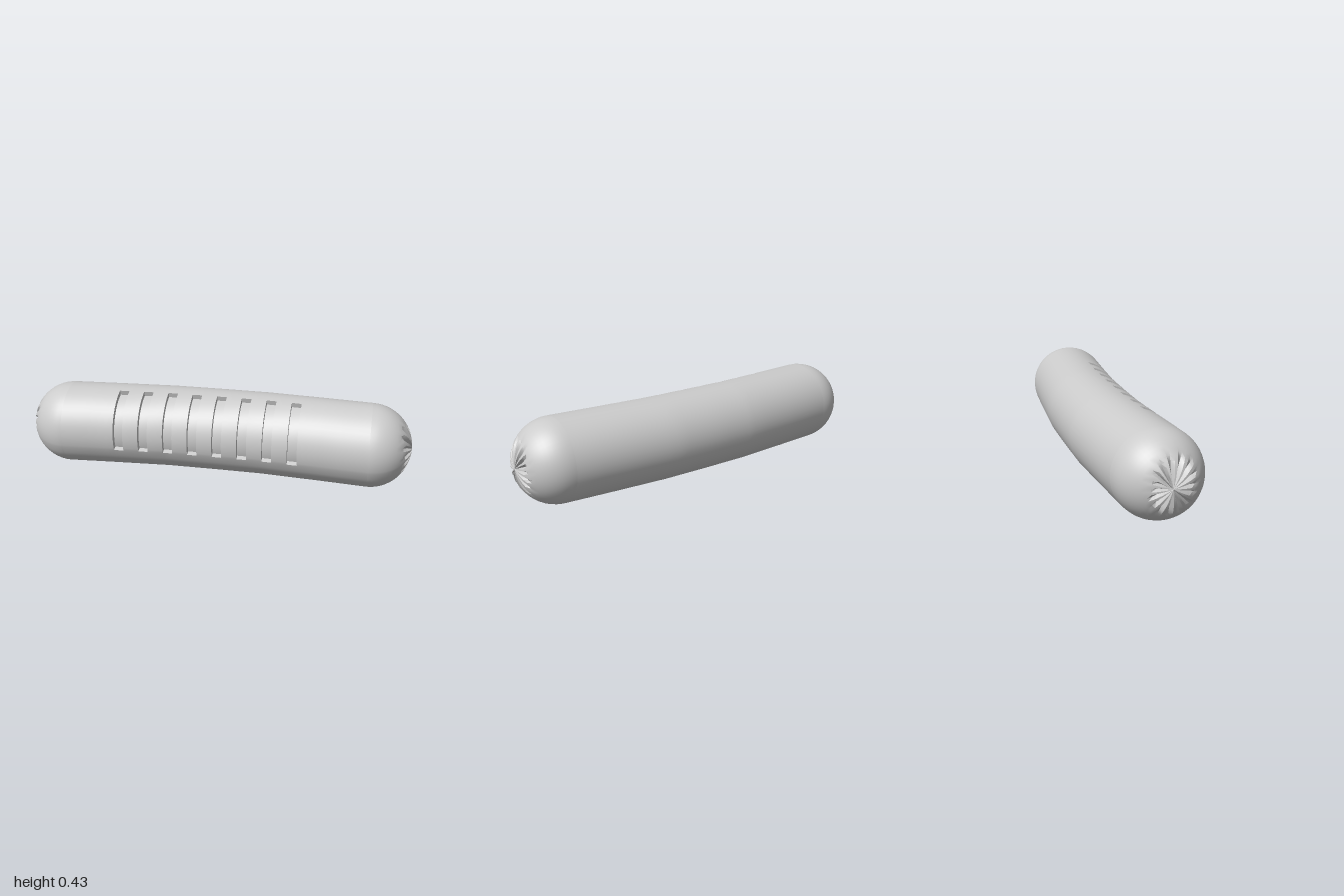
import * as THREE from 'three';
import { toCreasedNormals } from 'three/addons/utils/BufferGeometryUtils.js';

const R = 0.214;          // body radius
const SEG = 48;           // sides around the body
const CAP_X = 0.79;       // where the rounded ends begin
const CAP_RINGS = 14;
const DEPTH = 0.026;      // depth of the cuts
const CUT_W = 0.05;
const CUT_FROM = -3, CUT_TO = 10;   // angular steps covered by a cut

// Gentle bend of the centre line, as a polyline in x and z
const bend = [[0, -0.022], [0.25, -0.02], [0.55, 0.001], [0.8, 0.021], [2, 0.021]];
function centreZ(x) {
  const ax = Math.abs(x);
  const k = bend.findIndex((p, i) => i > 0 && ax <= p[0]);
  const [x0, z0] = bend[k - 1], [x1, z1] = bend[k];
  return z0 + (z1 - z0) * (ax - x0) / (x1 - x0);
}

// Angle 0 faces the front, a quarter turn faces up
function angle(j) {
  return j === CUT_FROM || j === CUT_FROM + SEG
    ? THREE.MathUtils.degToRad(-18.8)
    : (j / SEG) * Math.PI * 2;
}

function surfacePoint(x, r, j) {
  const a = angle(j);
  return new THREE.Vector3(x, R + r * Math.sin(a), centreZ(x) + r * Math.cos(a));
}

function meshFromQuads(name, quads, crease) {
  const pos = [];
  for (const [a, b, c, d] of quads) {
    for (const [p, q, s] of [[a, b, c], [a, c, d]]) {
      if (p.distanceTo(q) < 1e-6 || q.distanceTo(s) < 1e-6 || s.distanceTo(p) < 1e-6) continue;
      for (const v of [p, q, s]) pos.push(v.x, v.y, v.z);
    }
  }
  const geo = new THREE.BufferGeometry();
  geo.setAttribute('position', new THREE.Float32BufferAttribute(pos, 3));
  const mesh = new THREE.Mesh(toCreasedNormals(geo, crease), new THREE.MeshStandardMaterial({ color: 0xcccccc }));
  mesh.name = name;
  return mesh;
}

const cutCentres = Array.from({ length: 8 }, (_, i) => -0.49 + i * 0.129);
const inCut = (x) => cutCentres.some((c) => Math.abs(x - c) < CUT_W / 2);

// Casing between the rounded ends, left open where the cuts are
function makeBody() {
  const xs = [-CAP_X, -0.65, -0.25, 0, 0.25, 0.65, CAP_X, -0.55, 0.55];
  for (const c of cutCentres) xs.push(c - CUT_W / 2, c + CUT_W / 2);
  xs.sort((a, b) => a - b);
  const quads = [];
  for (let i = 0; i < xs.length - 1; i++) {
    const open = inCut((xs[i] + xs[i + 1]) / 2);
    for (let j = CUT_FROM; j < CUT_FROM + SEG; j++) {
      if (open && j < CUT_TO) continue;
      quads.push([
        surfacePoint(xs[i], R, j), surfacePoint(xs[i + 1], R, j),
        surfacePoint(xs[i + 1], R, j + 1), surfacePoint(xs[i], R, j + 1),
      ]);
    }
  }
  return meshFromQuads('body', quads, 0.5);
}

// Recess with a curved floor, two side walls and two end walls
function makeCut(centre) {
  const x0 = centre - CUT_W / 2, x1 = centre + CUT_W / 2, r = R - DEPTH;
  const P = surfacePoint;
  const quads = [];
  for (let j = CUT_FROM; j < CUT_TO; j++) {
    const k = j + 1;
    quads.push([P(x0, r, j), P(x1, r, j), P(x1, r, k), P(x0, r, k)]);
    quads.push([P(x0, R, j), P(x0, r, j), P(x0, r, k), P(x0, R, k)]);
    quads.push([P(x1, r, j), P(x1, R, j), P(x1, R, k), P(x1, r, k)]);
  }
  const a = CUT_FROM, b = CUT_TO;
  quads.push([P(x0, R, a), P(x1, R, a), P(x1, r, a), P(x0, r, a)]);
  quads.push([P(x0, r, b), P(x1, r, b), P(x1, R, b), P(x0, R, b)]);
  return meshFromQuads('cut', quads, 0.5);
}

// Rounded end, gathered into uneven pleats around the tip
function makeEnd(side) {
  const point = (i, j) => {
    const t = (i / CAP_RINGS) * Math.PI / 2;
    let r = i === CAP_RINGS ? 0 : R * Math.cos(t);
    let x = CAP_X + (1 - CAP_X) * Math.sin(t);
    const step = (j + SEG) % SEG;
    if (step % 3 === 0) {
      const length = 0.125 + 0.03 * Math.sin(step * 2.3);
      const fold = Math.sin(Math.PI * Math.min(r / length, 1));
      x -= 0.022 * fold;
      r -= 0.008 * fold;
    }
    return surfacePoint(side * x, r, j);
  };
  const quads = [];
  for (let i = 0; i < CAP_RINGS; i++) {
    for (let j = CUT_FROM; j < CUT_FROM + SEG; j++) {
      const q = [point(i, j), point(i + 1, j), point(i + 1, j + 1), point(i, j + 1)];
      quads.push(side > 0 ? q : q.reverse());
    }
  }
  return meshFromQuads(side > 0 ? 'leftEnd' : 'rightEnd', quads, 0.55);
}

export function createModel() {
  const group = new THREE.Group();
  group.name = 'sausage';
  group.add(makeBody(), makeEnd(1), makeEnd(-1));
  const cuts = new THREE.Group();
  cuts.name = 'cuts';
  for (const c of cutCentres) cuts.add(makeCut(c));
  group.add(cuts);
  return group;
}
